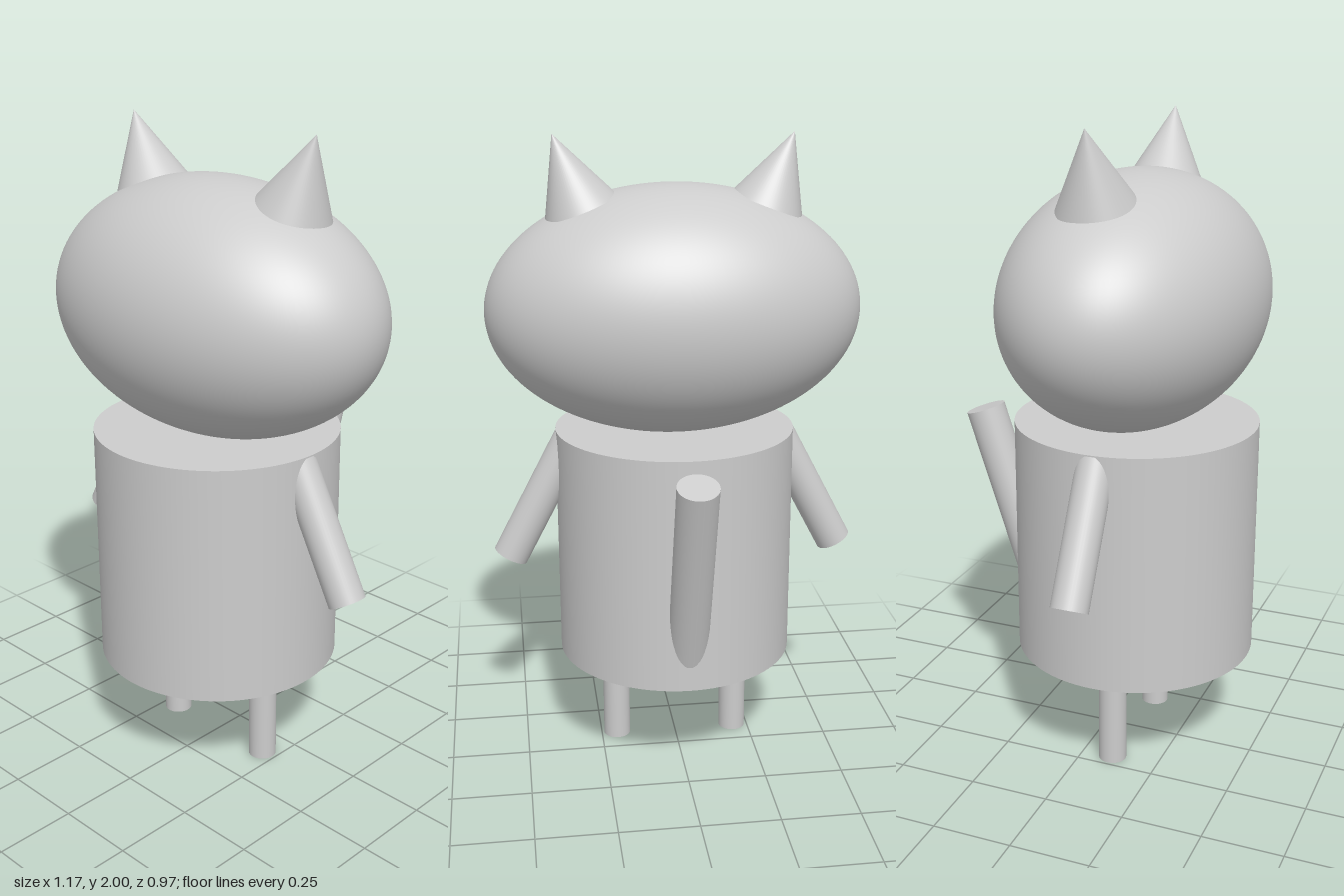
import * as THREE from 'three';

export function createModel() {
  const model = new THREE.Group();
  model.name = 'catFigure';
  const grey = new THREE.MeshStandardMaterial({ color: 0xcccccc });
  grey.name = 'lightGrey';
  const Z = 0.1; // depth of the body axis

  function add(name, geometry, x, y, z) {
    const mesh = new THREE.Mesh(geometry, grey);
    mesh.name = name;
    mesh.position.set(x, y, z);
    model.add(mesh);
    return mesh;
  }

  // Straight round rod between two end centres
  function rod(name, from, to, radius) {
    const a = new THREE.Vector3(...from);
    const b = new THREE.Vector3(...to);
    const dir = b.clone().sub(a);
    const mid = a.clone().add(b).multiplyScalar(0.5);
    const mesh = add(name, new THREE.CylinderGeometry(radius, radius, dir.length(), 40), mid.x, mid.y, mid.z);
    mesh.quaternion.setFromUnitVectors(new THREE.Vector3(0, 1, 0), dir.normalize());
  }

  // Drum-shaped body and wide egg-shaped head
  add('body', new THREE.CylinderGeometry(0.378, 0.378, 0.75, 96), 0, 0.715, Z);
  add('head', new THREE.SphereGeometry(1, 96, 64), 0, 1.468, Z).scale.set(0.584, 0.384, 0.384);

  // Paired legs, arms and ears
  for (const [side, s] of [['left', 1], ['right', -1]]) {
    rod(side + 'Leg', [s * 0.198, 0, Z], [s * 0.198, 0.36, Z], 0.044);
    rod(side + 'Arm', [s * 0.533, 0.672, Z], [s * 0.329, 1.06, Z], 0.057);

    // Cone ear leaning outwards, its tip at the top of the model
    const tilt = THREE.MathUtils.degToRad(20.5);
    const h = 0.232;
    const ear = add(side + 'Ear', new THREE.ConeGeometry(0.116, h, 64),
      s * (0.364 - Math.sin(tilt) * h / 2), 2 - Math.cos(tilt) * h / 2, 0.083);
    ear.rotation.z = -s * tilt;
  }

  // Tail rising backwards out of the body
  rod('tail', [0, 0.395, -0.204], [0, 1.061, -0.424], 0.063);

  return model;
}
